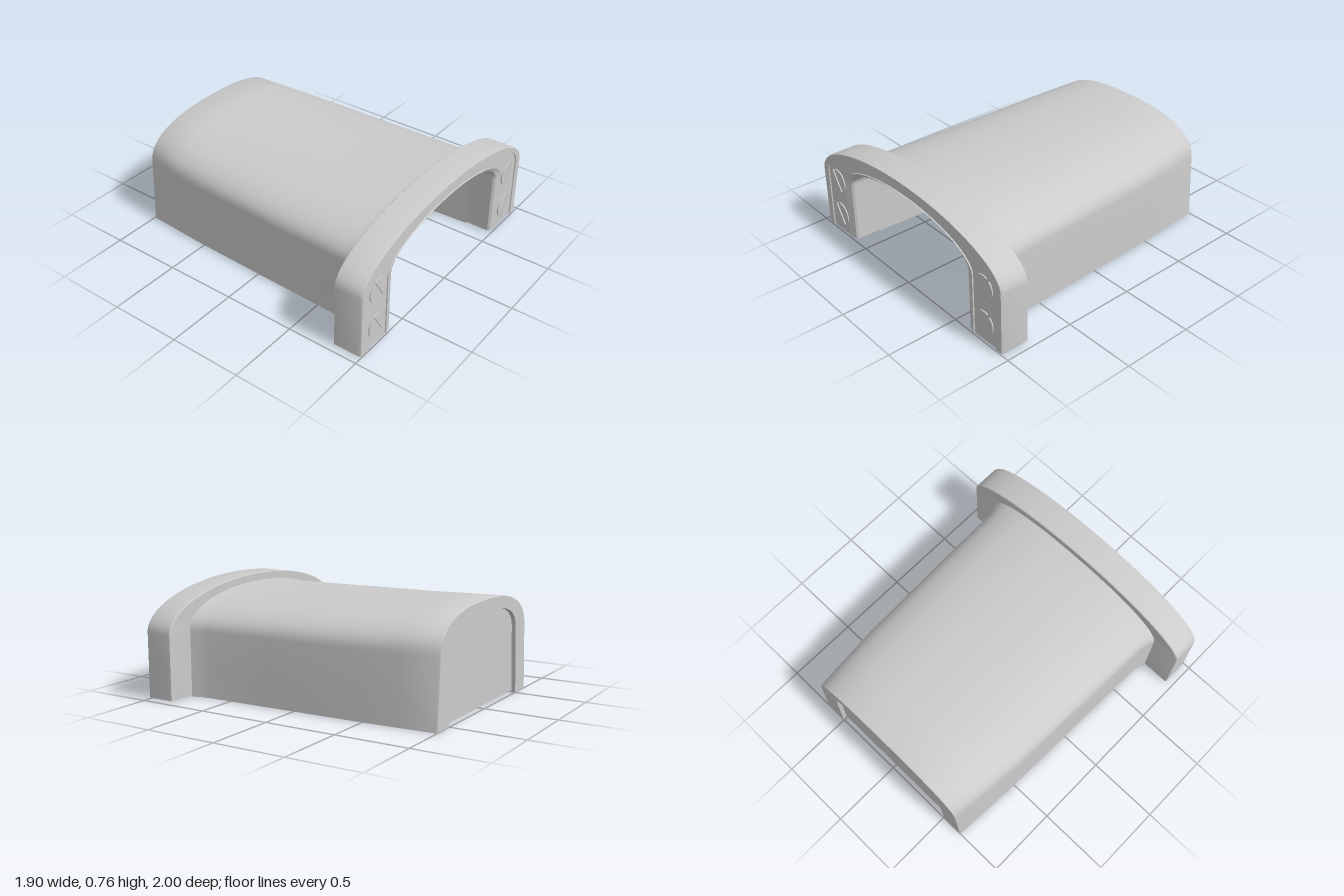
import * as THREE from 'three';
import { toCreasedNormals } from 'three/addons/utils/BufferGeometryUtils.js';

const material = new THREE.MeshStandardMaterial({ color: 0xcccccc });

// Arch outline from +x foot over the top to -x foot:
// w half width, s spring height, t top, n roundness (2 = ellipse), lean = inward tilt of the sides
function arch({ w, s = 0.45, t, n = 2, lean = 0, base = 0 }) {
  const half = [[w, base], [w, (base + s) / 2]];
  const N = 24;
  for (let i = 0; i <= N; i++) {
    const a = (i / N) * Math.PI / 2;
    const x = i === N ? 0 : w * Math.pow(Math.cos(a), 2 / n);
    half.push([x, s + (t - s) * Math.pow(Math.sin(a), 2 / n)]);
  }
  const pts = half.map(([x, y]) => [x * (1 - lean * y / t), y]);
  return [...pts, ...pts.slice(0, -1).reverse().map(([x, y]) => [-x, y])];
}

// Sweeps a closed cycle of arches (outer skin, rear, inner skin, front) and closes the two feet
function archSolid(rings) {
  const rows = rings.map(r => arch(r).map(([x, y]) => new THREE.Vector3(x, y, r.z)));
  const pos = [];
  const tri = (...v) => v.forEach(p => pos.push(p.x, p.y, p.z));
  rows.forEach((row, i) => {
    const next = rows[(i + 1) % rows.length];
    for (let j = 0; j < row.length - 1; j++) {
      tri(row[j], next[j], row[j + 1]);
      tri(row[j + 1], next[j], next[j + 1]);
    }
  });
  for (const foot of [rows.map(r => r[0]), rows.map(r => r[r.length - 1])]) {
    const flat = foot.map(p => new THREE.Vector2(p.x, p.z));
    for (const [a, b, c] of THREE.ShapeUtils.triangulateShape(flat, [])) {
      const A = foot[a], B = foot[b], C = foot[c];
      const up = B.clone().sub(A).cross(C.clone().sub(A)).y > 0;
      if (up) tri(A, C, B);
      else tri(A, B, C);
    }
  }
  const geo = new THREE.BufferGeometry();
  geo.setAttribute('position', new THREE.Float32BufferAttribute(pos, 3));
  return toCreasedNormals(geo, 0.5);
}

function part(name, geometry, parent) {
  const mesh = new THREE.Mesh(geometry, material);
  mesh.name = name;
  parent.add(mesh);
  return mesh;
}

// Round screw head split by a slot
function screwHead(r, slot, depth) {
  const a = Math.asin(slot / 2 / r);
  const halves = [0, Math.PI].map(o => {
    const s = new THREE.Shape();
    s.absarc(0, 0, r, o + a, o + Math.PI - a, false);
    s.closePath();
    return s;
  });
  return new THREE.ExtrudeGeometry(halves, { depth, bevelEnabled: false, curveSegments: 20 });
}

export function createModel() {
  const model = new THREE.Group();
  model.name = 'archedCover';

  // Tapering shell, flared where it meets the flange
  part('shell', archSolid([
    { z: 0.8, w: 0.75, t: 0.7, n: 2.2 },
    { z: 0.74, w: 0.732, t: 0.695, n: 2.2 },
    { z: 0.68, w: 0.722, t: 0.693, n: 2.2 },
    { z: 0.2, w: 0.71, t: 0.695, n: 2.25, lean: 0.005 },
    { z: -0.5, w: 0.69, t: 0.702, n: 2.35, lean: 0.02 },
    { z: -0.75, w: 0.676, t: 0.708, n: 2.45, lean: 0.04 },
    { z: -0.99, w: 0.661, t: 0.715, n: 2.5, lean: 0.06 },
    { z: -1, w: 0.655, t: 0.71, n: 2.5, lean: 0.06 },
    { z: -1, w: 0.505, t: 0.635, n: 2.6, lean: 0.07 },
    { z: -0.5, w: 0.545, t: 0.64, n: 2.4, lean: 0.04 },
    { z: 0.2, w: 0.59, t: 0.645, n: 2.15, lean: 0.01 },
    { z: 0.8, w: 0.62, t: 0.65, s: 0.44 },
  ]), model);

  // Front flange with chamfered outer and inner edges and a shallow sunk face
  const base = 0.01;
  part('flange', archSolid([
    { z: 0.985, w: 0.95, t: 0.757, base },
    { z: 0.805, w: 0.95, t: 0.757, base },
    { z: 0.8, w: 0.94, t: 0.752, base },
    { z: 0.8, w: 0.62, t: 0.65, s: 0.44, base },
    { z: 0.97, w: 0.62, t: 0.65, s: 0.44, base },
    { z: 0.985, w: 0.63, t: 0.654, s: 0.44, base },
    { z: 1, w: 0.68, t: 0.67, s: 0.44, base },
    { z: 0.992, w: 0.682, t: 0.672, s: 0.44, base },
    { z: 0.992, w: 0.888, t: 0.741, base },
    { z: 1, w: 0.89, t: 0.742, base },
    { z: 1, w: 0.942, t: 0.754, base },
  ]), model);

  // Recessed panel closing the rear
  const outline = arch({ w: 0.52, t: 0.645, n: 2.6, lean: 0.07, base });
  const panel = new THREE.Shape(outline.map(([x, y]) => new THREE.Vector2(x, y)));
  const panelGeometry = new THREE.ExtrudeGeometry(panel, { depth: 0.03, bevelEnabled: false });
  part('rearPanel', panelGeometry, model).position.z = -0.97;

  // Two slotted screws on each flange leg
  const head = screwHead(0.083, 0.022, 0.02);
  for (const side of [-1, 1]) {
    for (const y of [0.15, 0.415]) {
      const screw = part(side > 0 ? 'leftScrew' : 'rightScrew', head, model);
      screw.position.set(side * 0.78, y, 0.98);
      screw.rotation.z = side * 1.02;
    }
  }
  return model;
}
